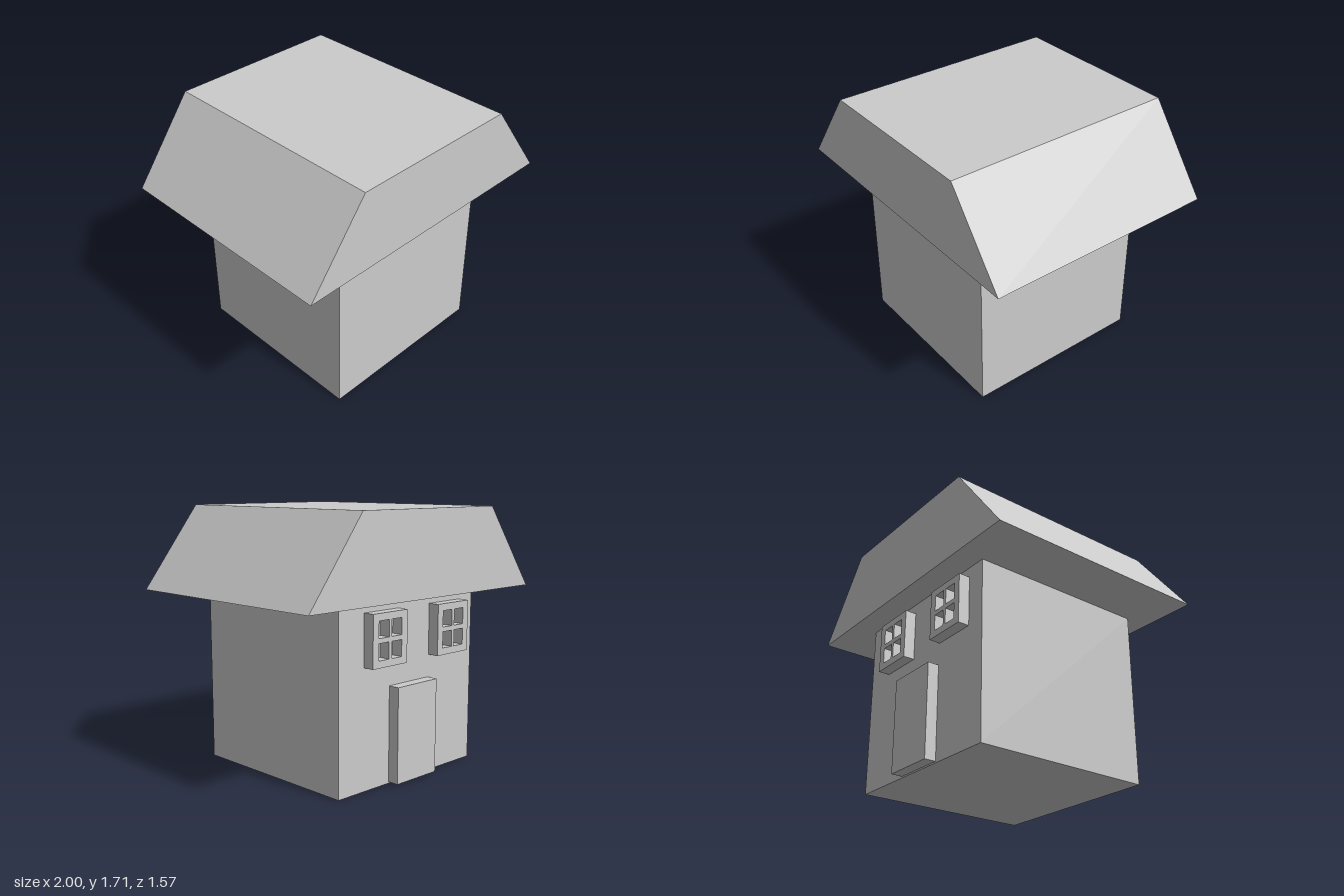
import * as THREE from 'three';

const material = new THREE.MeshStandardMaterial({ color: 0xcccccc, flatShading: true });

function addMesh(parent, name, geometry, x = 0, y = 0, z = 0) {
  const mesh = new THREE.Mesh(geometry, material);
  mesh.name = name;
  mesh.position.set(x, y, z);
  parent.add(mesh);
  return mesh;
}

const WALL = 0.615;      // half width of the square walls
const WALL_TOP = 1.165;
const RELIEF = 0.075;    // how far door and windows stand out

function rectangle(path, x0, y0, x1, y1) {
  path.moveTo(x0, y0);
  path.lineTo(x1, y0);
  path.lineTo(x1, y1);
  path.lineTo(x0, y1);
  path.closePath();
  return path;
}

// Frame with four square-cut panes, open through to the wall
function windowGeometry() {
  const w = 0.15, h = 0.165;
  const shape = rectangle(new THREE.Shape(), -w, -h, w, h);
  for (const sx of [-1, 1]) {
    for (const sy of [-1, 1]) {
      shape.holes.push(rectangle(new THREE.Path(), sx * 0.012, sy * 0.015, sx * 0.1, sy * 0.12));
    }
  }
  return new THREE.ExtrudeGeometry(shape, { depth: RELIEF, bevelEnabled: false });
}

// Flat-topped roof with sloping left and right sides
function roofGeometry() {
  const shape = new THREE.Shape([
    new THREE.Vector2(-1, WALL_TOP),
    new THREE.Vector2(1, WALL_TOP),
    new THREE.Vector2(0.59, 1.705),
    new THREE.Vector2(-0.59, 1.705),
  ]);
  const depth = 1.57;
  return new THREE.ExtrudeGeometry(shape, { depth, bevelEnabled: false }).translate(0, 0, -depth / 2);
}

export function createModel() {
  const house = new THREE.Group();
  house.name = 'house';

  addMesh(house, 'walls', new THREE.BoxGeometry(WALL * 2, WALL_TOP, WALL * 2), 0, WALL_TOP / 2, 0);
  addMesh(house, 'roof', roofGeometry());

  // Door and windows on the rear wall
  addMesh(house, 'door', new THREE.BoxGeometry(0.36, 0.615, RELIEF), 0, 0.3175, -WALL - RELIEF / 2);
  const pane = windowGeometry();
  addMesh(house, 'leftWindow', pane, 0.255, 0.935, -WALL - RELIEF);
  addMesh(house, 'rightWindow', pane, -0.335, 0.935, -WALL - RELIEF);

  return house;
}
